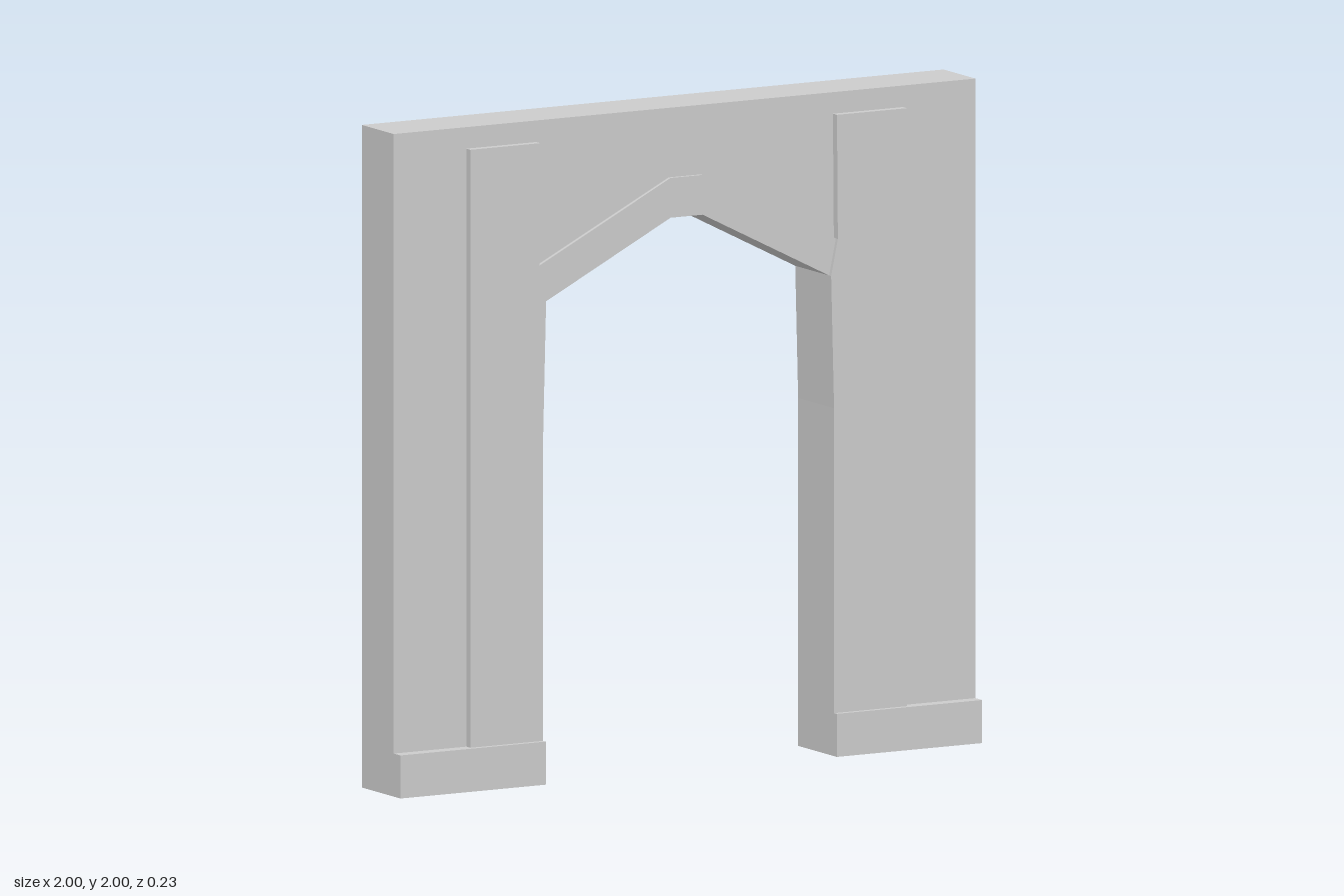
import * as THREE from 'three';

const BACK = -0.115, WALL = 0.075, TRIM = 0.087, PILASTER = 0.099, PLINTH = 0.115;
const material = new THREE.MeshStandardMaterial({ color: 0xcccccc, flatShading: true });

// Right half of the opening, from the floor to the crown
const opening = [[0.5, 0], [0.5, 1.05], [0.49, 1.45], [0.055, 1.67]];
// Right half of the trim's upper edge, from the crown to the springing
const trimTop = [[0.055, 1.79], [0.513, 1.56]];

const mirror = (points) => points.map(([x, y]) => [-x, y]).reverse();

// Extrude an outline between two depths
function slab(name, points, z0, z1) {
  const shape = new THREE.Shape(points.map(([x, y]) => new THREE.Vector2(x, y)));
  const geometry = new THREE.ExtrudeGeometry(shape, { depth: z1 - z0, bevelEnabled: false });
  geometry.translate(0, 0, z0);
  const mesh = new THREE.Mesh(geometry, material);
  mesh.name = name;
  return mesh;
}

export function createModel() {
  const group = new THREE.Group();
  group.name = 'archway';

  // Wall with the opening cut out from the floor up
  group.add(slab('wall', [...opening, ...mirror(opening), [-1, 0], [-1, 2], [1, 2], [1, 0]], BACK, WALL));

  // Raised band along the underside of the arch
  const band = [...opening.slice(2), ...mirror(opening.slice(2))];
  group.add(slab('archTrim', [...band, ...mirror(trimTop), ...trimTop], WALL, TRIM));

  // Pilaster beside the opening, and the plinth below it
  const pilaster = [[0.5, 0.13], [0.75, 0.13], [0.75, 1.935], [0.51, 1.935],
    [0.513, 1.56], [0.49, 1.45], [0.5, 1.05]];
  const plinth = [[0.5, 0], [1, 0], [1, 0.13], [0.5, 0.13]];
  for (const [side, place] of [['left', (p) => p], ['right', mirror]]) {
    group.add(slab(side + 'Pilaster', place(pilaster), WALL, PILASTER));
    group.add(slab(side + 'Plinth', place(plinth), WALL, PLINTH));
  }
  return group;
}
